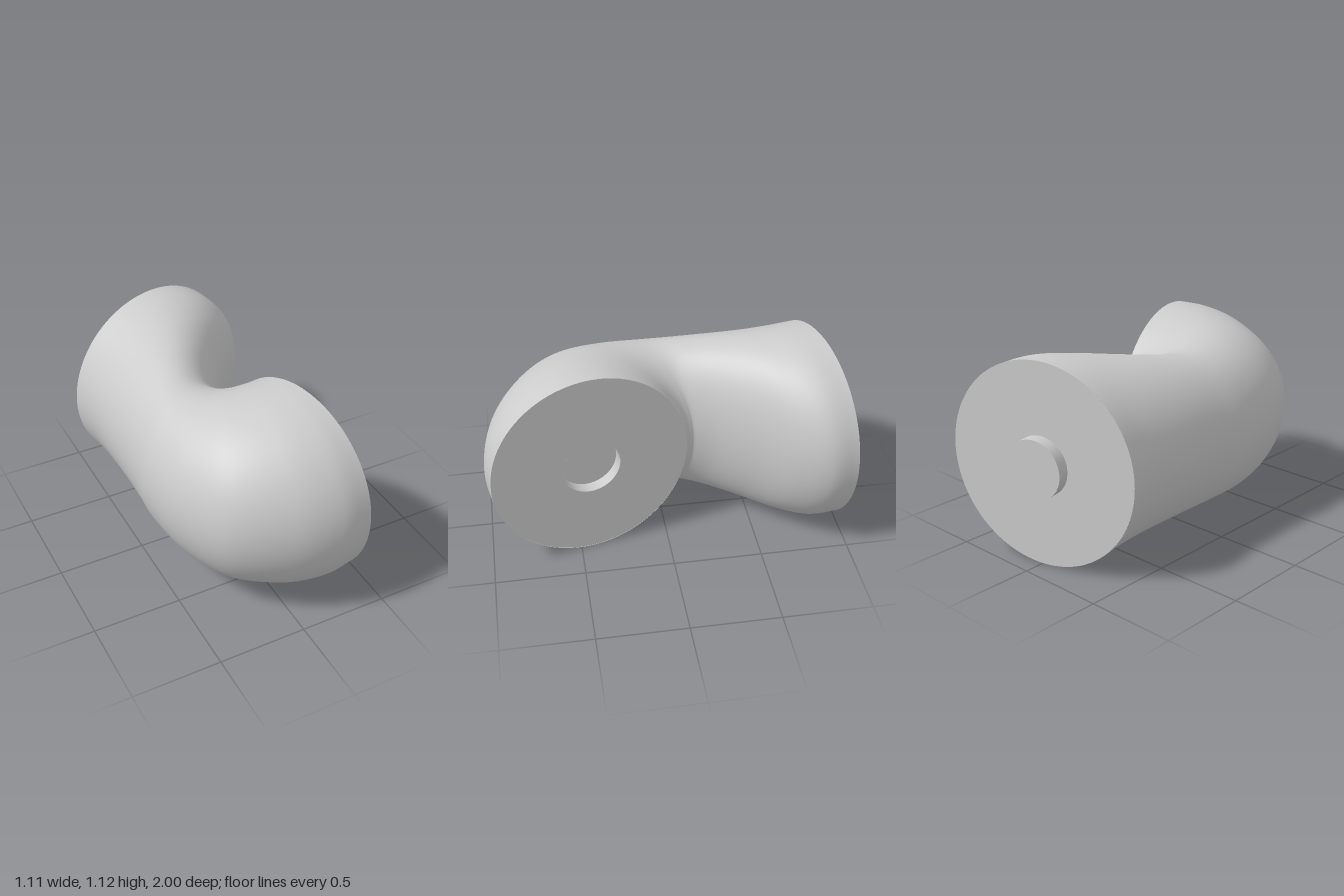
import * as THREE from 'three';

const R = 0.5625, PIN_R = 0.165, PIN_DEPTH = 0.07;

// Cross-sections from back to front: outer x, z, inner x, z, half height
const SECTIONS = [
  [-0.56, -0.76, 0.54, -1.0, R],
  [-0.535, -0.6, 0.55, -0.85, 0.555],
  [-0.525, -0.42, 0.47, -0.69, 0.53],
  [-0.52, -0.2, 0.3, -0.49, 0.495],
  [-0.523, 0.0, 0.17, -0.31, 0.465],
  [-0.53, 0.2, 0.115, -0.19, 0.45],
  [-0.48, 0.5, 0.115, -0.16, 0.47],
  [-0.33, 0.78, 0.125, -0.14, 0.51],
  [-0.05, 0.95, 0.135, -0.13, 0.545],
  [0.2, 1.0, 0.147, -0.127, 0.56],
  [0.39, 0.97, 0.155, -0.125, R],
];

// Smooth skin through elliptical sections
function bodyGeometry(steps = 100, sides = 96) {
  const outer = new THREE.CatmullRomCurve3(
    SECTIONS.map(s => new THREE.Vector3(s[0], s[4], s[1])), false, 'catmullrom');
  const inner = new THREE.CatmullRomCurve3(
    SECTIONS.map(s => new THREE.Vector3(s[2], s[4], s[3])), false, 'catmullrom');
  const positions = [], index = [];
  for (let i = 0; i <= steps; i++) {
    const a = outer.getPoint(i / steps), b = inner.getPoint(i / steps);
    const centre = a.clone().add(b).multiplyScalar(0.5);
    const half = b.clone().sub(a).multiplyScalar(0.5);
    for (let j = 0; j < sides; j++) {
      const t = (j / sides) * Math.PI * 2, c = Math.cos(t);
      positions.push(centre.x + half.x * c, R + a.y * Math.sin(t), centre.z + half.z * c);
      if (i < steps) {
        const p = i * sides + j, q = i * sides + (j + 1) % sides;
        index.push(p, q, p + sides, q, q + sides, p + sides);
      }
    }
  }
  const geometry = new THREE.BufferGeometry();
  geometry.setAttribute('position', new THREE.Float32BufferAttribute(positions, 3));
  geometry.setIndex(index);
  geometry.computeVertexNormals();
  return geometry;
}

export function createModel() {
  const model = new THREE.Group();
  const material = new THREE.MeshStandardMaterial({ color: 0xcccccc });
  const inside = new THREE.MeshStandardMaterial({ color: 0xcccccc, side: THREE.DoubleSide });

  const add = (parent, name, geometry, mat = material) => {
    const mesh = new THREE.Mesh(geometry, mat);
    mesh.name = name;
    parent.add(mesh);
    return mesh;
  };
  // Joint frame whose local +z points out of the flat face
  const joint = (name, x, z, nx, nz) => {
    const group = new THREE.Group();
    group.name = name;
    group.position.set(x, R, z);
    group.rotation.y = Math.atan2(nx, nz);
    model.add(group);
    return group;
  };

  add(model, 'elbowBody', bodyGeometry(), inside);

  // Back face with projecting peg
  const back = joint('pegJoint', -0.01, -0.88, -0.24, -1.1);
  add(back, 'pegFace', new THREE.CircleGeometry(R, 96));
  const peg = add(back, 'peg', new THREE.CylinderGeometry(PIN_R, PIN_R, PIN_DEPTH, 48));
  peg.rotation.x = Math.PI / 2;
  peg.position.z = PIN_DEPTH / 2;

  // Front side face with matching round socket
  const front = joint('socketJoint', 0.2725, 0.4225, 1.095, -0.235);
  add(front, 'socketFace', new THREE.RingGeometry(PIN_R, 0.56, 96));
  const wall = add(front, 'socketWall',
    new THREE.CylinderGeometry(PIN_R, PIN_R, PIN_DEPTH, 48, 1, true), inside);
  wall.rotation.x = Math.PI / 2;
  wall.position.z = -PIN_DEPTH / 2;
  add(front, 'socketFloor', new THREE.CircleGeometry(PIN_R, 48)).position.z = -PIN_DEPTH;

  return model;
}
